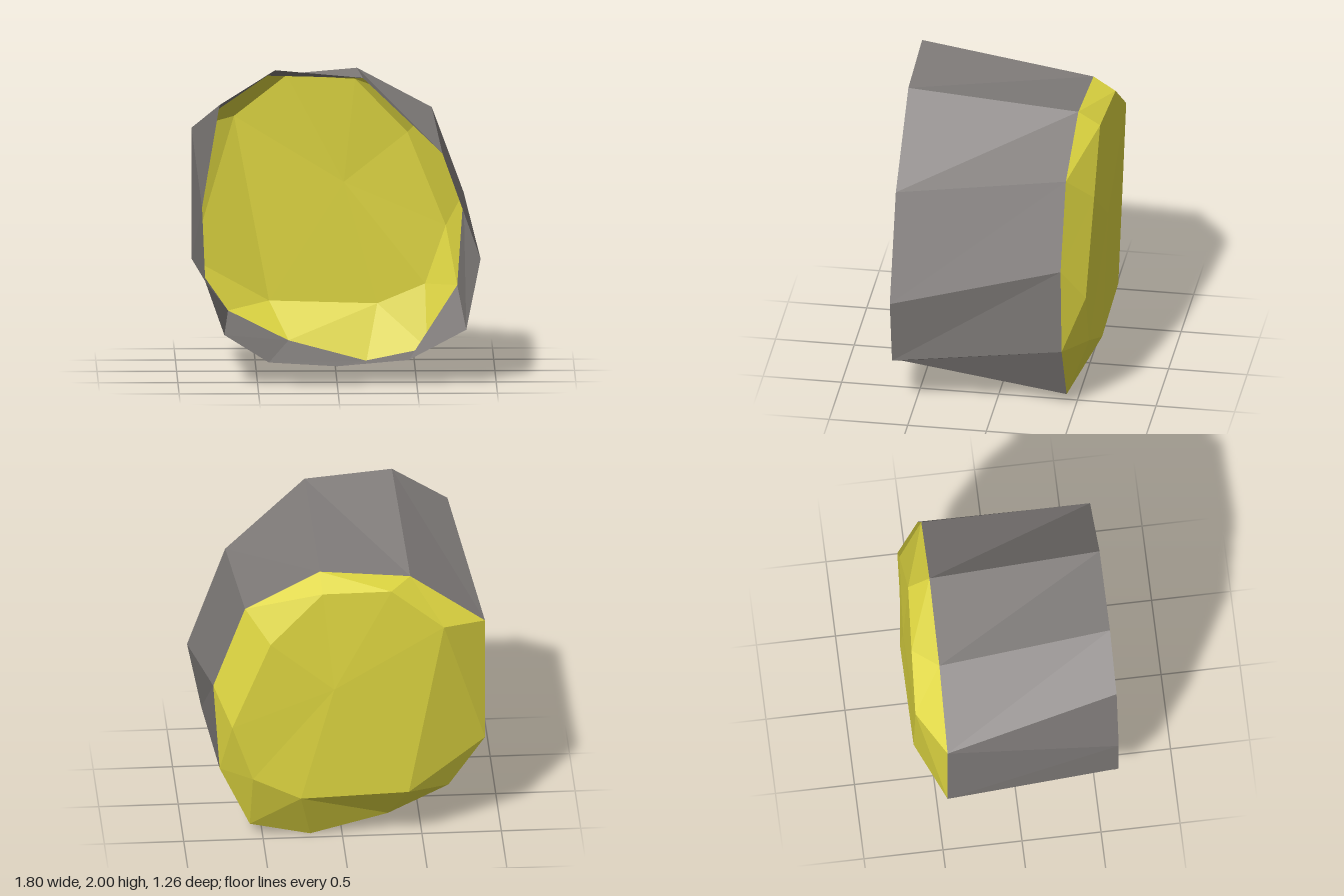
import * as THREE from 'three';

// Skin two rings of [x, y, z] points (clockwise from the front, first ring nearer the front)
function loft(name, front, back, material) {
  const pos = [];
  const n = front.length;
  const tri = (a, b, c) => {
    if (a !== b && b !== c && a !== c) pos.push(...a, ...b, ...c);
  };
  for (let k = 0; k < n; k++) {
    const j = (k + 1) % n;
    tri(front[k], front[j], back[k]);
    tri(front[j], back[j], back[k]);
  }
  const geo = new THREE.BufferGeometry();
  geo.setAttribute('position', new THREE.Float32BufferAttribute(pos, 3));
  geo.computeVertexNormals();
  const mesh = new THREE.Mesh(geo, material);
  mesh.name = name;
  return mesh;
}

export function createModel() {
  const grey = new THREE.MeshStandardMaterial({ color: 0x807c7a });
  grey.name = 'warmGrey';
  const yellow = new THREE.MeshStandardMaterial({ color: 0xdcd440 });
  yellow.name = 'yellow';
  for (const m of [grey, yellow]) {
    m.side = THREE.DoubleSide;
    m.flatShading = true;
  }

  // Open rim at the front
  const rim = [
    [-0.39, 2.0], [0.16, 1.95], [0.66, 1.47], [0.9, 0.8], [0.81, 0.35], [0.45, 0.16],
    [0, 0.12], [-0.43, 0.145], [-0.71, 0.32], [-0.83, 0.66], [-0.85, 1.13], [-0.74, 1.78],
  ].map(([x, y]) => [x, y, 0.63]);

  // Rear edge of the wall, where the cap begins
  const edge = [
    [-0.43, 1.81], [0.14, 1.86], [0.61, 1.61], [0.81, 1.07], [0.77, 0.48], [0.58, 0.08],
    [0.2, 0], [-0.29, 0.13], [-0.67, 0.32], [-0.9, 0.65], [-0.9, 1.48],
  ].map(([x, y]) => [x, y, -0.45 + 0.01 * x]);

  // Outline of the cap's face and its middle
  const face = [
    [-0.3, 1.79, -0.615], [0.13, 1.77, -0.585], [0.46, 1.43, -0.6], [0.7, 0.84, -0.585],
    [0.57, 0.47, -0.585], [0.27, 0.34, -0.62], [-0.41, 0.36, -0.615], [-0.63, 1.53, -0.63],
  ];
  const middle = [0.06, 1.11, -0.625];

  // Two rim corners share the last edge corner; some edge corners share a face corner
  const wallBack = [...edge, edge[10]];
  const bevelBack = [0, 1, 2, 3, 4, 5, 5, 6, 6, 7, 7].map((i) => face[i]);

  const group = new THREE.Group();
  group.name = 'cappedTube';
  group.add(
    loft('tubeWall', rim, wallBack, grey),
    loft('capBevel', edge, bevelBack, yellow),
    loft('capFace', face, face.map(() => middle), yellow),
  );
  return group;
}
